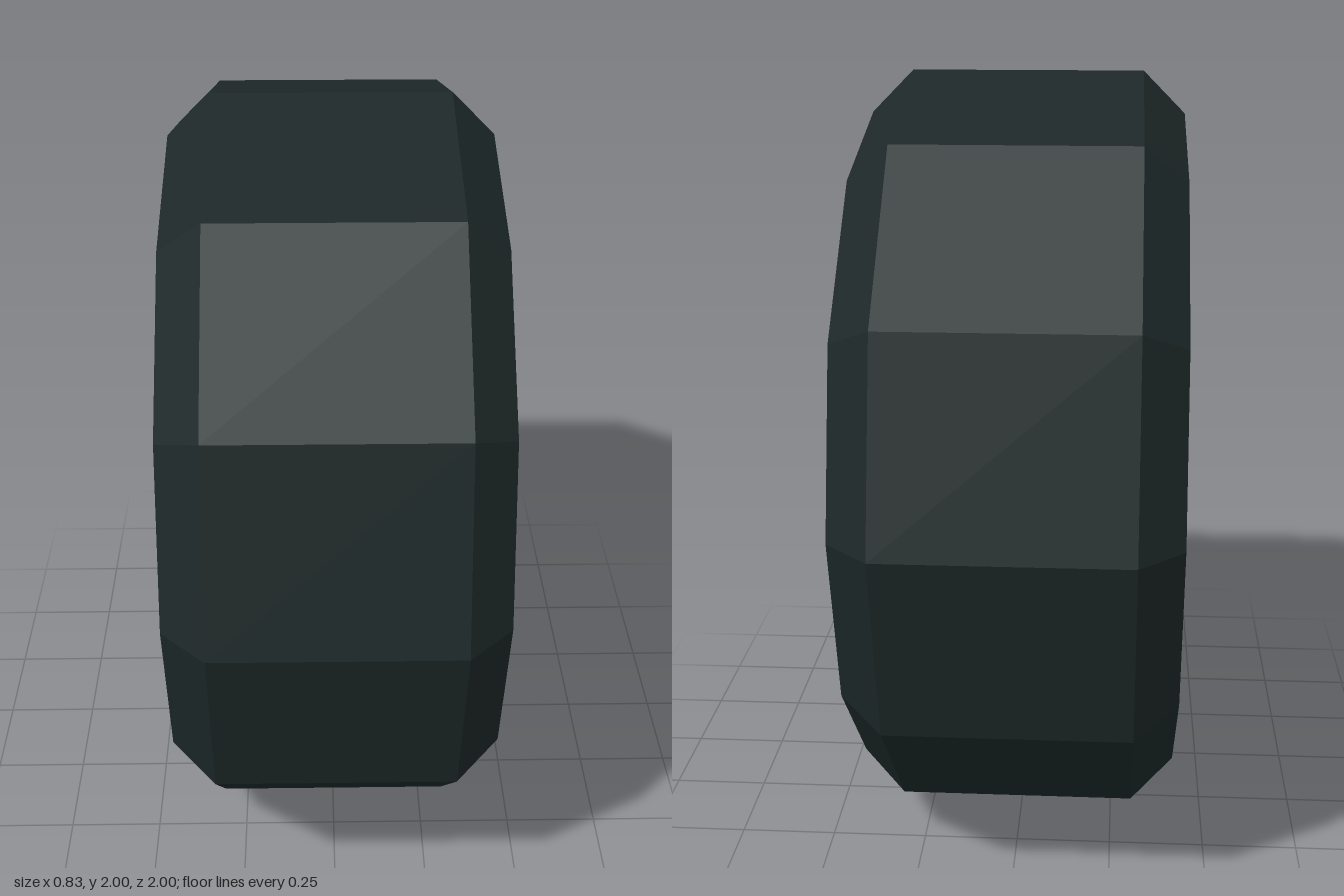
import * as THREE from 'three';

const flat = (name, color) => new THREE.MeshStandardMaterial({ name, color, flatShading: true });

// Faceted solid of revolution about the x axle; profile is [radius, x], first corner at the top
function turned(name, profile, sides, material) {
  const points = profile.map(([r, x]) => new THREE.Vector2(r, x));
  const geometry = new THREE.LatheGeometry(points, sides, -Math.PI / 2);
  geometry.rotateZ(-Math.PI / 2);
  const mesh = new THREE.Mesh(geometry, material);
  mesh.name = name;
  return mesh;
}

export function createModel() {
  const rubber = flat('dark rubber', 0x1d2828);
  const silver = flat('silver', 0xc9d0dc);
  const steel = flat('steel grey', 0x8e96a1);

  const wheel = new THREE.Group();
  wheel.name = 'wheel';
  wheel.position.y = 1;

  // Tyre with bevelled shoulders and an open centre
  wheel.add(turned('tyre', [
    [0.61, -0.414], [0.89, -0.414], [1, -0.304], [1, 0.304],
    [0.89, 0.414], [0.61, 0.414], [0.61, -0.414],
  ], 12, rubber));

  // Identical wheel face on both sides
  for (const side of [0, 1]) {
    const face = new THREE.Group();
    face.name = side ? 'rightFace' : 'leftFace';
    face.rotation.y = side * Math.PI;

    face.add(turned('rim', [[0.61, 0], [0.61, 0.29], [0.592, 0.305], [0.4, 0.305]], 12, silver));
    face.add(turned('hubDisc', [[0.472, 0.2], [0.472, 0.33], [0, 0.33]], 12, rubber));
    face.add(turned('hubCap', [[0.25, 0.3], [0.25, 0.357], [0.225, 0.385], [0, 0.385]], 10, steel));

    // Five hexagonal wheel nuts
    for (let i = 0; i < 5; i++) {
      const pivot = new THREE.Group();
      pivot.name = 'nutPivot';
      pivot.rotation.x = (i * Math.PI * 2) / 5;
      const nut = turned('wheelNut', [[0.05, 0.3], [0.05, 0.385], [0, 0.385]], 6, silver);
      nut.position.y = 0.362;
      pivot.add(nut);
      face.add(pivot);
    }
    wheel.add(face);
  }

  const model = new THREE.Group();
  model.name = 'model';
  model.add(wheel);
  return model;
}
